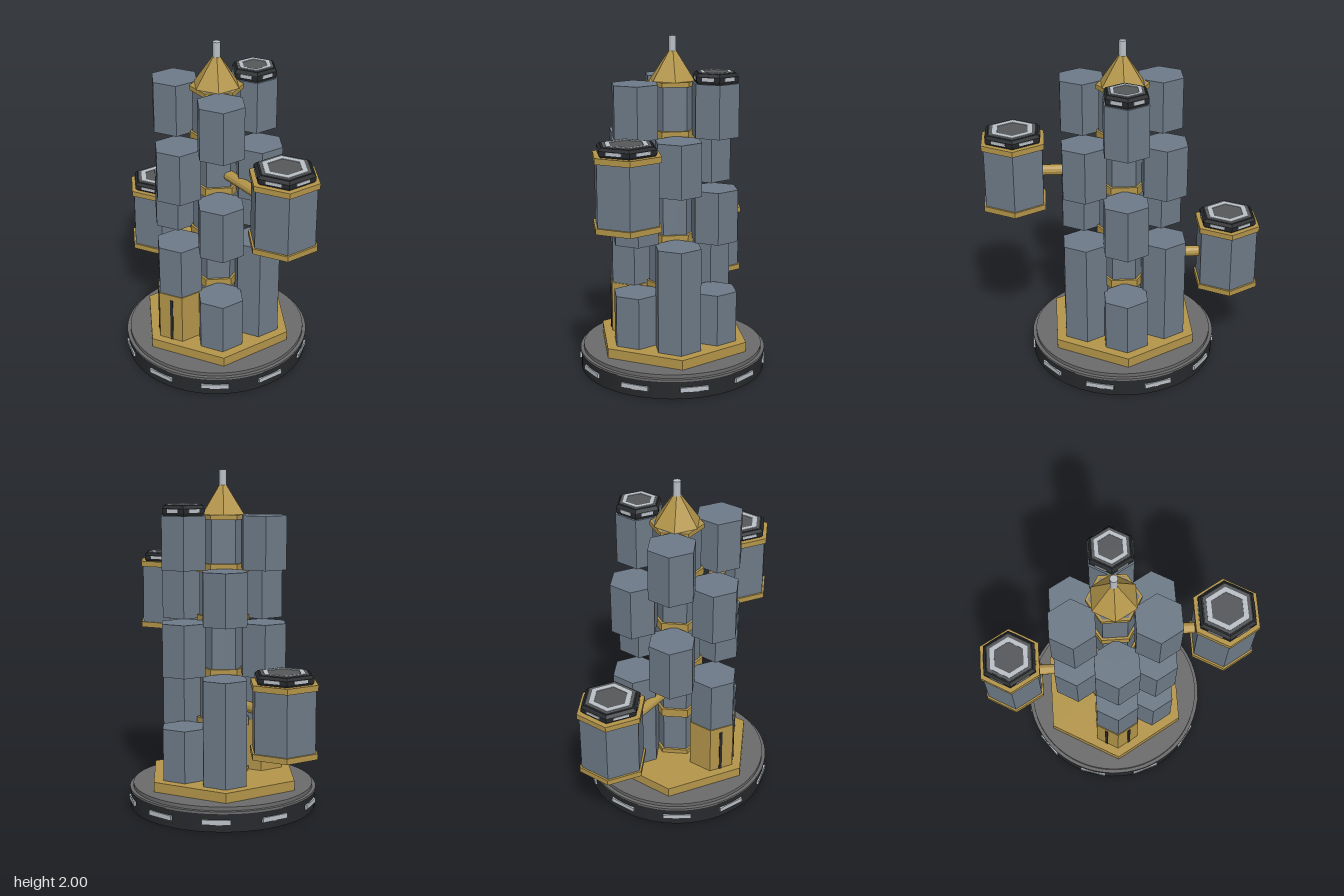
import * as THREE from 'three';

const mat = (color, flat = true) => new THREE.MeshStandardMaterial({ color, flatShading: flat });
const blue = mat(0x6d7a87), gold = mat(0xb3954a), dark = mat(0x26282b), plate = mat(0x55575a);
const light = mat(0xb9c0c6), deck = mat(0x6b6b6b, true);

const PITCH = 0.309;      // height of one storey
const FLOOR = 0.2;        // underside of the first storey
const RING = 0.267;       // distance of pods from the axis

function add(parent, name, geometry, material, x = 0, y = 0, z = 0) {
  const mesh = new THREE.Mesh(geometry, material);
  mesh.name = name;
  mesh.position.set(x, y, z);
  parent.add(mesh);
  return mesh;
}

// Prism standing on y = 0, one corner towards +z
function prism(radius, height, sides = 6, topRadius = radius) {
  return new THREE.CylinderGeometry(topRadius, radius, height, sides).translate(0, height / 2, 0);
}

function lathe(points, sides) {
  return new THREE.LatheGeometry(points.map(([r, y]) => new THREE.Vector2(r, y)), sides);
}

// Bevelled roof hatch with a light ring and a window on each side
function hatch(r, h) {
  const g = new THREE.Group();
  g.name = 'roofHatch';
  add(g, 'hatchFrame', lathe([[0, 0], [r * 0.95, 0], [r, h * 0.25], [r, h * 0.7], [r * 0.9, h], [r * 0.8, h], [0, h]], 6), dark);
  add(g, 'hatchPlate', prism(r * 0.84, 0.003), plate, 0, h, 0);
  const ring = lathe([[r * 0.56, 0], [r * 0.73, 0], [r * 0.73, 0.004], [r * 0.56, 0.004], [r * 0.56, 0]], 6);
  add(g, 'hatchRing', ring, light, 0, h + 0.002, 0);
  for (let i = 0; i < 6; i++) {
    const a = (i + 0.5) * Math.PI / 3, d = r * 0.866;
    const w = add(g, 'hatchWindow', new THREE.BoxGeometry(r * 0.5, h * 0.34, 0.006), light, Math.sin(a) * d, h * 0.48, Math.cos(a) * d);
    w.rotation.y = a;
  }
  return g;
}

// Large outrigger pod with its arm; side is +1 or -1
function outrigger(side, y) {
  const g = new THREE.Group();
  g.name = side > 0 ? 'leftOutrigger' : 'rightOutrigger';
  const x = side * 0.632;
  add(g, 'outriggerBody', prism(0.193, 0.4), blue, x, y + 0.01, 0);
  for (const dy of [0, 0.382]) add(g, 'outriggerRim', prism(0.206, 0.033), gold, x, y + dy, 0);
  const cap = hatch(0.18, 0.05);
  cap.position.set(x, y + 0.415, 0);
  g.add(cap);
  const arm = add(g, 'arm', new THREE.CylinderGeometry(0.032, 0.032, 0.4, 12), gold, side * 0.3, y + 0.208, 0);
  arm.rotation.z = Math.PI / 2;
  return g;
}

export function createModel() {
  const model = new THREE.Group();
  model.name = 'podTower';

  // Round base with lip, deck and ten windows
  add(model, 'baseDisc', prism(0.555, 0.11, 64), dark);
  add(model, 'baseLip', prism(0.561, 0.013, 64), deck, 0, 0.107, 0);
  add(model, 'deck', prism(0.54, 0.025, 64), deck, 0, 0.117, 0);
  for (let i = 0; i < 10; i++) {
    const a = (i + 0.5) * Math.PI / 5;
    const frame = add(model, 'baseWindow', new THREE.BoxGeometry(0.165, 0.028, 0.022), light, Math.sin(a) * 0.55, 0.057, Math.cos(a) * 0.55);
    frame.rotation.y = a;
  }
  add(model, 'platform', prism(0.475, 0.06), gold, 0, 0.14, 0);

  // Central column with collars at both ends of each storey
  const top = FLOOR + 5 * PITCH;
  add(model, 'column', prism(0.138, top - FLOOR), blue, 0, FLOOR, 0).rotation.y = Math.PI / 6;
  for (let level = 0; level < 5; level++) {
    for (const dy of [0, PITCH - 0.027]) {
      add(model, 'collar', prism(0.154, 0.027), gold, 0, FLOOR + level * PITCH + dy, 0).rotation.y = Math.PI / 6;
    }
  }

  // Pods by storey, as sixths of a turn from the front
  const storeys = [[1, 2, 3, 4], [0, 2, 4], [1, 3, 5], [0, 2, 4], [1, 3, 5]];
  storeys.forEach((slots, level) => {
    for (const s of slots) {
      const a = s * Math.PI / 3;
      add(model, 'pod', prism(0.144, PITCH), blue, Math.sin(a) * RING, FLOOR + level * PITCH, Math.cos(a) * RING);
    }
  });

  // Entrance with two dark slits
  add(model, 'entrance', prism(0.15, PITCH), gold, 0, FLOOR, RING);
  for (const s of [-1, 1]) {
    const slit = add(model, 'entranceSlit', new THREE.BoxGeometry(0.018, 0.275, 0.008), dark, s * 0.07, FLOOR + 0.137, RING + 0.15 - 0.07 * 0.577);
    slit.rotation.y = s * Math.PI / 6;
  }

  // Hatch on the rear top pod
  const rear = hatch(0.138, 0.058);
  rear.position.set(0, top, -RING);
  model.add(rear);

  // Spire and mast
  add(model, 'spire', prism(0.14, 0.168, 6, 0.024), gold, 0, top, 0);
  add(model, 'mast', prism(0.022, 0.095, 12), light, 0, 1.905, 0);

  model.add(outrigger(1, 1.015), outrigger(-1, 0.44));
  return model;
}
